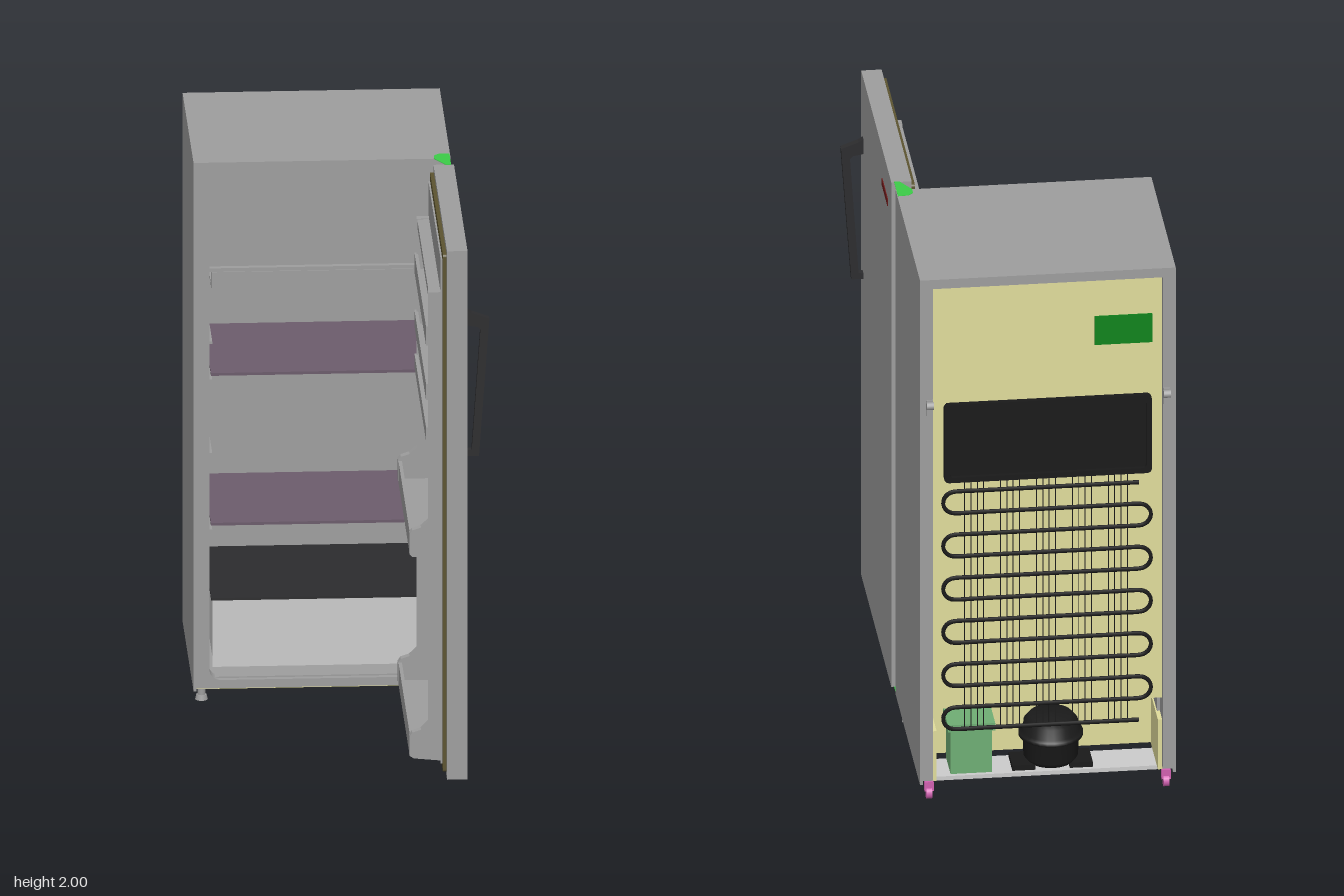
import * as THREE from 'three';

const mat = color => new THREE.MeshStandardMaterial({ color });
const GREY = mat(0x9e9e9e), PALE = mat(0xcccccc), FOAM = mat(0xe0dc9c), BLACK = mat(0x1a1a1a), DARK = mat(0x2c2c2e);
const GREEN = mat(0x3ccc48), LABEL = mat(0x10841c), BOXGREEN = mat(0x6fae74), RED = mat(0x701a1a);
const PINK = mat(0xd060b0), SEAL = mat(0x5c5430), GLASS = mat(0x6c5c6c);

function add(parent, name, geo, material = GREY, x = 0, y = 0, z = 0) {
  const m = new THREE.Mesh(geo, material);
  m.name = name;
  m.position.set(x, y, z);
  parent.add(m);
  return m;
}

// Box given by its limits on each axis
function box(parent, name, [x0, x1], [y0, y1], [z0, z1], material = GREY) {
  return add(parent, name, new THREE.BoxGeometry(x1 - x0, y1 - y0, z1 - z0), material,
    (x0 + x1) / 2, (y0 + y1) / 2, (z0 + z1) / 2);
}

function roundRect(path, x0, x1, y0, y1, r) {
  path.moveTo(x0 + r, y0);
  path.lineTo(x1 - r, y0).absarc(x1 - r, y0 + r, r, -Math.PI / 2, 0, false);
  path.lineTo(x1, y1 - r).absarc(x1 - r, y1 - r, r, 0, Math.PI / 2, false);
  path.lineTo(x0 + r, y1).absarc(x0 + r, y1 - r, r, Math.PI / 2, Math.PI, false);
  path.lineTo(x0, y0 + r).absarc(x0 + r, y0 + r, r, Math.PI, Math.PI * 1.5, false);
  return path;
}

const polygon = pts => new THREE.Shape(pts.map(p => new THREE.Vector2(...p)));
const extrude = (shape, depth) => new THREE.ExtrudeGeometry(shape, { depth, bevelEnabled: false, curveSegments: 8 });
// Profile drawn in (z, y), extruded across x
const extrudeX = (pts, x0, x1) => extrude(polygon(pts), x1 - x0).rotateY(-Math.PI / 2).translate(x1, 0, 0);

function frame(parent, name, outer, inner, depth, material) {
  const shape = roundRect(new THREE.Shape(), ...outer);
  shape.holes.push(roundRect(new THREE.Path(), ...inner));
  return add(parent, name, extrude(shape, depth), material);
}

function buildCabinet() {
  const g = new THREE.Group();
  g.name = 'cabinet';
  // Outer skins with thicker rear flanges and insulated sides
  box(g, 'leftSkin', [0.39, 0.4], [0.06, 2], [-0.82, -0.1]);
  box(g, 'rightSkin', [-0.49, -0.48], [0.06, 2], [-0.82, -0.1]);
  box(g, 'leftWall', [0.355, 0.391], [0.075, 1.99], [-0.82, -0.11]);
  box(g, 'rightWall', [-0.481, -0.445], [0.075, 1.99], [-0.82, -0.11]);
  box(g, 'topShell', [-0.481, 0.391], [1.965, 2], [-0.82, -0.1]);
  frame(g, 'frontFrame', [-0.481, 0.391, 0.07, 1.99, 0.004], [-0.435, 0.345, 0.1, 1.955, 0.04], 0.05).position.z = -0.15;
  box(g, 'leftLiner', [0.345, 0.356], [0.1, 1.96], [-0.73, -0.11]);
  box(g, 'rightLiner', [-0.446, -0.435], [0.1, 1.96], [-0.73, -0.11]);
  box(g, 'topLiner', [-0.44, 0.35], [1.945, 1.966], [-0.73, -0.11]);
  box(g, 'bottomPanel', [-0.48, 0.39], [0.067, 0.09], [-0.59, -0.103], FOAM);
  for (const x of [-0.446, 0.34]) box(g, 'bayLining', [x, x + 0.016], [0.064, 0.255], [-0.8, -0.57], FOAM);
  // Insulation steps forward above the compressor bay
  add(g, 'insulation', extrudeX([[-0.12, 0.07], [-0.59, 0.07], [-0.59, 0.24], [-0.8, 0.34], [-0.8, 1.97],
    [-0.73, 1.97], [-0.73, 0.36], [-0.53, 0.28], [-0.53, 0.09], [-0.12, 0.09]], -0.447, 0.357), FOAM);
  add(g, 'innerLiner', extrudeX([[-0.12, 0.088], [-0.54, 0.088], [-0.54, 0.28], [-0.735, 0.355], [-0.735, 1.96],
    [-0.72, 1.96], [-0.72, 0.365], [-0.525, 0.29], [-0.525, 0.105], [-0.12, 0.105]], -0.44, 0.35));
  return g;
}

function buildInterior() {
  const g = new THREE.Group();
  g.name = 'interior';
  // Freezer compartment closed by a flap, drip tray below
  box(g, 'freezerTop', [-0.434, 0.344], [1.888, 1.902], [-0.72, -0.25]);
  box(g, 'freezerFloor', [-0.434, 0.344], [1.545, 1.558], [-0.72, -0.25]);
  box(g, 'freezerFlap', [-0.43, 0.34], [1.56, 1.885], [-0.285, -0.265]);
  box(g, 'dripTrayLip', [-0.42, 0.33], [1.48, 1.54], [-0.275, -0.26]);
  box(g, 'dripTrayFloor', [-0.42, 0.33], [1.48, 1.49], [-0.7, -0.265]);
  // Shelves and their side ledges
  for (const y of [1.19, 0.64]) {
    box(g, 'shelf', [-0.425, 0.335], [y - 0.004, y + 0.004], [-0.7, -0.2], GLASS);
    box(g, 'shelfTrim', [-0.425, 0.335], [y - 0.005, y + 0.005], [-0.205, -0.19], GLASS);
  }
  for (const y of [1.31, 1.17, 0.9, 0.62])
    for (const x of [-0.436, 0.331]) box(g, 'shelfLedge', [x, x + 0.015], [y - 0.005, y + 0.005], [-0.7, -0.18]);
  // Crisper drawer with cover
  box(g, 'drawerFront', [-0.42, 0.33], [0.12, 0.345], [-0.195, -0.18], PALE);
  box(g, 'drawerRim', [-0.42, 0.33], [0.345, 0.366], [-0.2, -0.178], PALE);
  box(g, 'drawerBack', [-0.415, 0.33], [0.12, 0.33], [-0.52, -0.505], PALE);
  box(g, 'drawerFloor', [-0.415, 0.33], [0.12, 0.132], [-0.52, -0.18], PALE);
  for (const x of [-0.415, 0.318]) box(g, 'drawerSide', [x, x + 0.012], [0.12, 0.345], [-0.52, -0.18], PALE);
  box(g, 'drawerCover', [-0.425, 0.335], [0.367, 0.376], [-0.7, -0.17], DARK);
  return g;
}

function buildDoor() {
  const g = new THREE.Group();
  g.name = 'door';
  box(g, 'doorPanel', [0.337, 0.408], [0.06, 2], [-0.038, 0.85]);
  const seal = frame(g, 'doorSeal', [-0.83, 0.025, 0.08, 1.98, 0.01], [-0.795, -0.01, 0.115, 1.945, 0.01], 0.014, SEAL);
  seal.rotation.y = Math.PI / 2;
  seal.position.x = 0.324;
  box(g, 'doorLiner', [0.318, 0.34], [0.1, 1.95], [-0.01, 0.795]);
  // End walls bulge around the two deep racks
  const wall = polygon([[0.325, 0.11], [0.225, 0.12], [0.21, 0.13], [0.21, 0.2], [0.22, 0.215], [0.25, 0.225],
    [0.275, 0.25], [0.275, 0.86], [0.22, 0.86], [0.21, 0.87], [0.21, 0.945], [0.22, 0.957], [0.25, 0.967],
    [0.275, 0.99], [0.275, 1.83], [0.325, 1.83]]);
  for (const z of [0.01, 0.765]) add(g, 'linerEndWall', extrude(wall, 0.028), GREY, 0, 0, z);
  box(g, 'linerTopWall', [0.277, 0.325], [1.8, 1.828], [0.02, 0.78]);
  // Door racks: floor and front fence
  for (const [y, x, h] of [[0.122, 0.212, 0.08], [0.862, 0.212, 0.08], [1.28, 0.268, 0.05], [1.43, 0.268, 0.06], [1.63, 0.268, 0.07]]) {
    box(g, 'rackFloor', [x, 0.325], [y, y + 0.015], [0.02, 0.78]);
    box(g, 'rackFence', [x, x + 0.012], [y, y + h], [0.02, 0.78]);
  }
  // Slanted grip on two legs
  const grip = polygon([[0.405, 1.77], [0.425, 1.757], [0.486, 1.735], [0.45, 1.232], [0.405, 1.232],
    [0.405, 1.252], [0.425, 1.255], [0.455, 1.695], [0.445, 1.705], [0.405, 1.712]]);
  add(g, 'handle', extrude(grip, 0.026), DARK, 0, 0, 0.782);
  box(g, 'doorPlate', [0.406, 0.411], [1.865, 1.89], [0.055, 0.225], RED);
  // Thin hinge leaves, flush with top and bottom
  const hinge = polygon([[0.343, 0.13], [0.36, 0.148], [0.398, 0.15], [0.398, 0.035], [0.38, 0.035], [0.343, 0.1]]);
  for (const y of [1.999, 0.058])
    add(g, 'hingeLeaf', extrude(hinge, 0.002).rotateX(-Math.PI / 2), GREEN, 0, y, 0);
  return g;
}

function buildCooling() {
  const g = new THREE.Group();
  g.name = 'coolingSystem';
  // Framed black panel
  frame(g, 'rearPanelFrame', [-0.405, 0.318, 1.225, 1.525, 0.018], [-0.385, 0.298, 1.245, 1.505, 0.012], 0.02, BLACK).position.z = -0.84;
  box(g, 'rearPanel', [-0.395, 0.308], [1.235, 1.515], [-0.826, -0.8], BLACK);
  box(g, 'ratingPlate', [-0.41, -0.21], [1.71, 1.82], [-0.804, -0.799], LABEL);
  // Serpentine condenser coil
  const pts = [], runs = 12, step = 0.083, r = step / 2;
  for (let i = 0; i < runs; i++) {
    const y = 1.19 - i * step, s = i % 2 ? -1 : 1;
    const end = s > 0 ? 0.28 : -0.36;
    for (let k = 0; k <= 8; k++) pts.push(new THREE.Vector3(-0.04 + s * (k / 8 - 0.5) * 0.64, y, -0.836));
    if (i < runs - 1) for (let k = 1; k < 8; k++) {
      const a = Math.PI / 2 - k * Math.PI / 8;
      pts.push(new THREE.Vector3(end + s * r * Math.cos(a), y - r + r * Math.sin(a), -0.836));
    }
  }
  const curve = new THREE.CatmullRomCurve3(pts, false, 'centripetal');
  curve.arcLengthDivisions = 2000;
  add(g, 'condenserCoil', new THREE.TubeGeometry(curve, 900, 0.0075, 6), BLACK);
  // Wire fins in groups of four
  for (let i = 0; i < 20; i++) {
    const x = -0.32 + Math.floor(i / 4) * 0.125 + (i % 4) * 0.022;
    box(g, 'condenserWire', [x - 0.0015, x + 0.0015], [0.27, 1.235], [-0.832, -0.829], BLACK);
  }
  // Compressor on its cross plate
  box(g, 'basePlate', [-0.446, 0.356], [0.045, 0.06], [-0.76, -0.62], PALE);
  const dome = [[0, 0], [0.08, 0], [0.095, 0.02], [0.098, 0.09], [0.112, 0.095], [0.112, 0.108], [0.098, 0.112],
    [0.094, 0.15], [0.075, 0.172], [0, 0.178]].map(p => new THREE.Vector2(...p));
  add(g, 'compressor', new THREE.LatheGeometry(dome, 28), BLACK, -0.07, 0.075, -0.69);
  for (const x of [-0.17, 0.03]) box(g, 'compressorFoot', [x - 0.04, x + 0.04], [0.059, 0.08], [-0.745, -0.635], BLACK);
  box(g, 'controlBox', [0.14, 0.285], [0.055, 0.24], [-0.745, -0.615], BOXGREEN);
  box(g, 'controlBoxLid', [0.13, 0.295], [0.222, 0.25], [-0.75, -0.612], BOXGREEN);
  return g;
}

function buildSupports() {
  const g = new THREE.Group();
  g.name = 'supports';
  for (const x of [-0.458, 0.367]) {
    add(g, 'footStem', new THREE.CylinderGeometry(0.014, 0.014, 0.05, 12), GREY, x, 0.04, -0.19);
    add(g, 'footPad', new THREE.CylinderGeometry(0.018, 0.022, 0.018, 16), GREY, x, 0.009, -0.19);
    add(g, 'footNut', new THREE.CylinderGeometry(0.022, 0.022, 0.012, 6), GREY, x, 0.05, -0.19);
    add(g, 'rearWheel', new THREE.CylinderGeometry(0.022, 0.022, 0.02, 20).rotateZ(Math.PI / 2), PINK, x, 0.022, -0.8);
    box(g, 'wheelFork', [x - 0.016, x + 0.016], [0.03, 0.065], [-0.81, -0.79], PINK);
    // Curled wall spacers
    box(g, 'wallSpacer', [x - 0.012, x + 0.012], [1.48, 1.54], [-0.826, -0.818]);
    add(g, 'wallSpacerCurl', new THREE.CylinderGeometry(0.014, 0.014, 0.025, 14).rotateZ(Math.PI / 2), GREY, x, 1.525, -0.838);
  }
  return g;
}

export function createModel() {
  const model = new THREE.Group();
  model.name = 'refrigerator';
  model.add(buildCabinet(), buildInterior(), buildDoor(), buildCooling(), buildSupports());
  return model;
}
